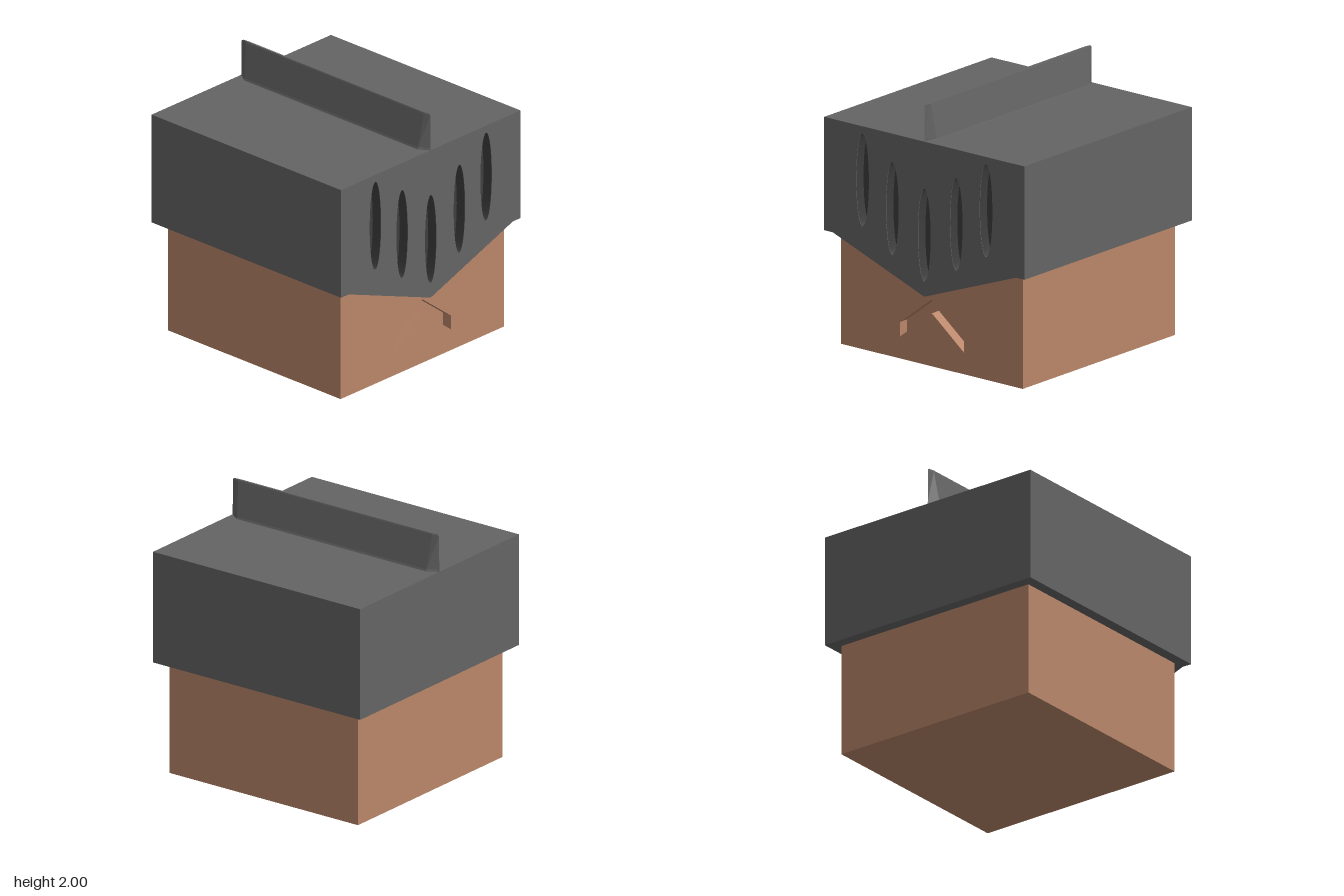
import * as THREE from 'three';

const steel = new THREE.MeshStandardMaterial({ color: 0x646464 });
steel.name = 'steel grey';
const slotDark = new THREE.MeshStandardMaterial({ color: 0x3e3e3e, side: THREE.DoubleSide });
slotDark.name = 'dark slot grey';
const skin = new THREE.MeshStandardMaterial({ color: 0xb98669 });
skin.name = 'skin tan';

const HEAD = 0.855, HELM = 0.94, RIM = 0.86, TOP = 1.715, MOUTH_DEPTH = 0.08;

// Eye slots: x, y of the centre
const SLOT_RX = 0.06, SLOT_RY = 0.35;
const SLOTS = [[-0.58, 1.31], [-0.3, 1.15], [0, 1.01], [0.3, 1.15], [0.58, 1.31]];

function add(parent, name, geometry, material, x = 0, y = 0, z = 0) {
  const mesh = new THREE.Mesh(geometry, material);
  mesh.name = name;
  mesh.position.set(x, y, z);
  parent.add(mesh);
  return mesh;
}

const points = (list) => list.map(([x, y]) => new THREE.Vector2(x, y));

function block(parent, name, material, half, y0, y1, z0, z1) {
  const geometry = new THREE.BoxGeometry(half * 2, y1 - y0, z1 - z0);
  return add(parent, name, geometry, material, 0, (y0 + y1) / 2, (z0 + z1) / 2);
}

// Six-sided blade, pointed at both ends and tapering to a thin top
function crestGeometry() {
  const ring = (w, y, end, shoulder) => [
    [0, y, end], [w, y, shoulder], [w, y, -shoulder],
    [0, y, -end], [-w, y, -shoulder], [-w, y, shoulder],
  ];
  const rings = [ring(0.055, TOP, 0.94, 0.86), ring(0.05, TOP + 0.015, 0.938, 0.86),
    ring(0.01, 1.99, 0.935, 0.88), ring(0.007, 2, 0.92, 0.88)];
  const pos = [];
  for (let r = 0; r < rings.length - 1; r++) {
    for (let i = 0; i < 6; i++) {
      const j = (i + 1) % 6;
      const a = rings[r][i], b = rings[r][j], c = rings[r + 1][j], d = rings[r + 1][i];
      pos.push(...a, ...b, ...c, ...a, ...c, ...d);
    }
  }
  const top = rings[rings.length - 1];
  for (let i = 1; i < 5; i++) pos.push(...top[0], ...top[i], ...top[i + 1]);
  const geometry = new THREE.BufferGeometry();
  geometry.setAttribute('position', new THREE.Float32BufferAttribute(pos, 3));
  geometry.computeVertexNormals();
  return geometry;
}

export function createModel() {
  const model = new THREE.Group();
  model.name = 'helmetedHead';

  // Head with a face plate pierced by the chevron mouth
  const head = new THREE.Group();
  head.name = 'head';
  model.add(head);
  block(head, 'skull', skin, HEAD, 0, RIM, -HEAD, HEAD - MOUTH_DEPTH);
  const face = new THREE.Shape(points([[-HEAD, 0], [HEAD, 0], [HEAD, RIM], [-HEAD, RIM]]));
  face.holes.push(new THREE.Path(points([
    [-0.3, 0.275], [0, 0.505], [0.3, 0.275], [0.3, 0.165], [0, 0.4], [-0.3, 0.165],
  ])));
  add(head, 'faceWithMouth',
    new THREE.ExtrudeGeometry(face, { depth: MOUTH_DEPTH, bevelEnabled: false }),
    skin, 0, 0, HEAD - MOUTH_DEPTH);

  // Helmet body and pointed visor with slots
  const helmet = new THREE.Group();
  helmet.name = 'helmet';
  model.add(helmet);
  block(helmet, 'helmetBody', steel, HELM, RIM, TOP, -HELM, HEAD);
  const visor = new THREE.Shape(points([
    [-HELM, RIM], [-0.86, RIM], [0, 0.545], [0.86, RIM], [HELM, RIM], [HELM, TOP], [-HELM, TOP],
  ]));
  for (const [x, y] of SLOTS) {
    const hole = new THREE.Path();
    hole.absellipse(x, y, SLOT_RX, SLOT_RY, 0, Math.PI * 2, true);
    visor.holes.push(hole);
  }
  const depth = HELM - HEAD;
  add(helmet, 'visor',
    new THREE.ExtrudeGeometry(visor, { depth, bevelEnabled: false, curveSegments: 20 }),
    steel, 0, 0, HEAD);

  // Dark lining and floor of each slot
  const lining = new THREE.CylinderGeometry(1, 1, depth - 0.004, 40, 1, true).rotateX(Math.PI / 2);
  const floor = new THREE.CircleGeometry(1, 40);
  for (const [x, y] of SLOTS) {
    add(helmet, 'slotLining', lining, slotDark, x, y, HEAD + depth / 2)
      .scale.set(SLOT_RX - 0.002, SLOT_RY - 0.002, 1);
    add(helmet, 'slotFloor', floor, slotDark, x, y, HEAD + 0.004)
      .scale.set(SLOT_RX, SLOT_RY, 1);
  }

  // Crest along the top
  add(helmet, 'crest', crestGeometry(), steel);
  return model;
}
